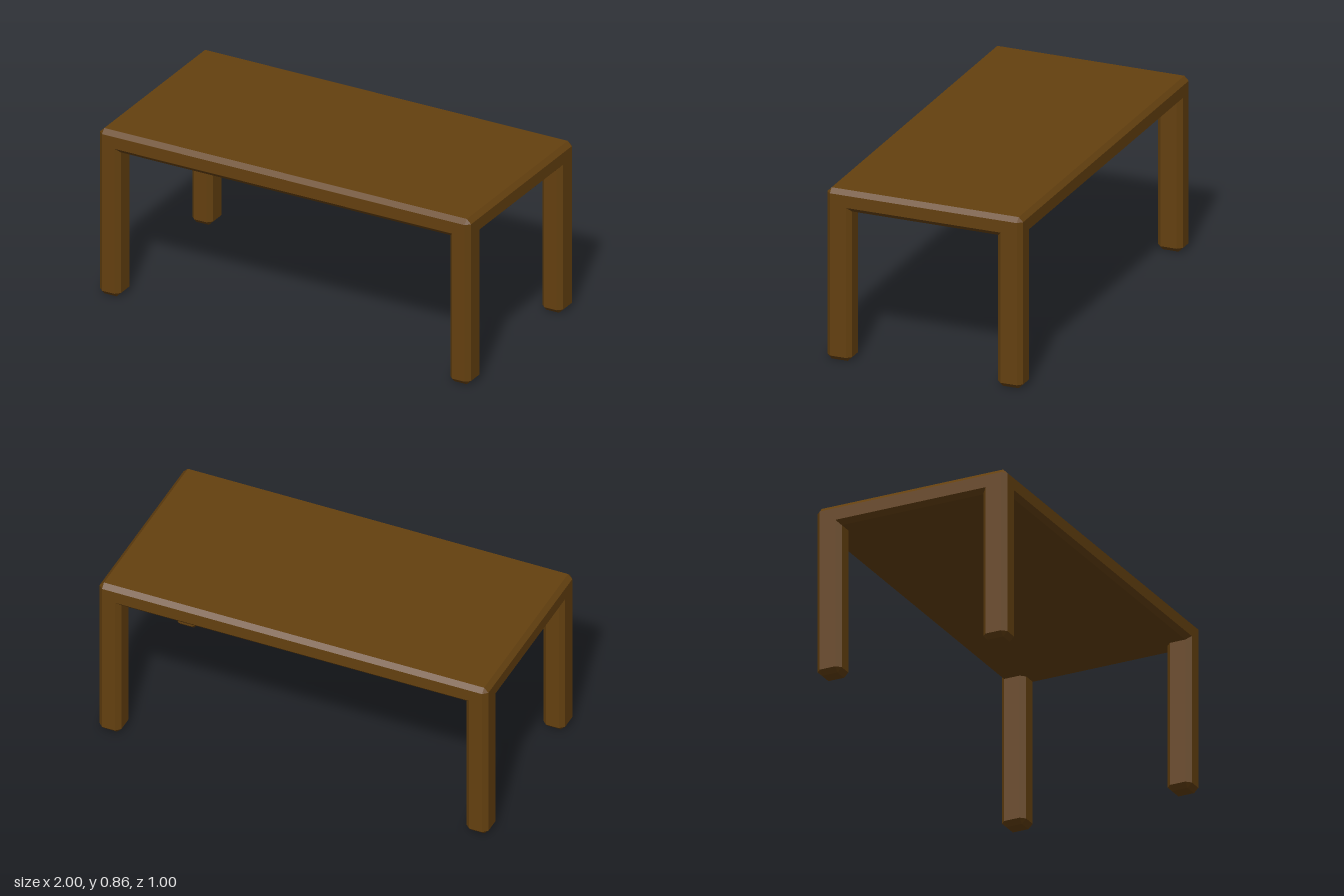
import * as THREE from 'three';
import { ConvexGeometry } from 'three/addons/geometries/ConvexGeometry.js';

const WIDTH = 2, DEPTH = 1, HEIGHT = 0.863;
const UNDERSIDE = 0.757, BEVEL = 0.0225;
const LEG_X = 0.112, LEG_Z = 0.127;

// Box with 45 degree chamfers on its edges, standing on y = 0; the top edges can be left square
function chamferedBox(w, h, d, bevelTop = true) {
  const points = [];
  const x = w / 2, z = d / 2, b = BEVEL;
  for (const sx of [-1, 1]) for (const sz of [-1, 1]) {
    for (const top of [false, true]) {
      const bevelled = !top || bevelTop;
      const yEnd = top ? h : 0;
      const ySide = bevelled ? (top ? h - b : b) : yEnd;
      points.push(new THREE.Vector3(sx * x, ySide, sz * (z - b)));
      points.push(new THREE.Vector3(sx * (x - b), ySide, sz * z));
      if (bevelled) points.push(new THREE.Vector3(sx * (x - b), yEnd, sz * (z - b)));
    }
  }
  return new ConvexGeometry(points);
}

export function createModel() {
  const table = new THREE.Group();
  table.name = 'table';
  const wood = new THREE.MeshStandardMaterial({ color: 0x64400f, flatShading: true });

  // Table top
  const top = new THREE.Mesh(chamferedBox(WIDTH, HEIGHT - UNDERSIDE, DEPTH), wood);
  top.name = 'tableTop';
  top.position.y = UNDERSIDE;
  table.add(top);

  // Four corner legs, flush with the sides and mitred into the chamfer under the top
  const legGeometry = chamferedBox(LEG_X, UNDERSIDE + BEVEL, LEG_Z, false);
  for (const [sx, side] of [[1, 'Left'], [-1, 'Right']]) {
    for (const [sz, end] of [[1, 'front'], [-1, 'back']]) {
      const leg = new THREE.Mesh(legGeometry, wood);
      leg.name = `${end}${side}Leg`;
      leg.position.set(sx * (WIDTH - LEG_X) / 2, 0, sz * (DEPTH - LEG_Z) / 2);
      table.add(leg);
    }
  }
  return table;
}
